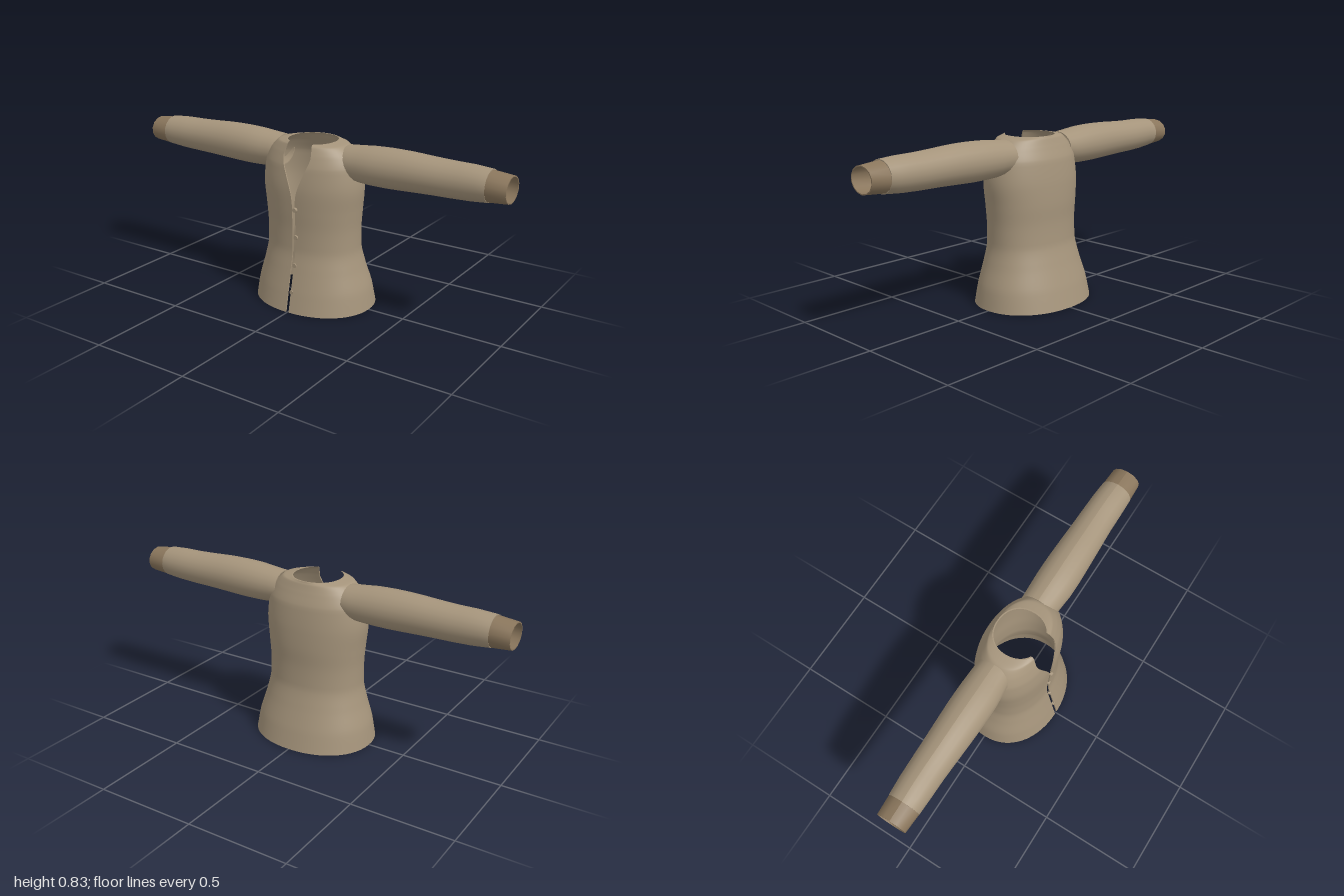
import * as THREE from 'three';
import { mergeGeometries } from 'three/addons/utils/BufferGeometryUtils.js';

const fabric = new THREE.MeshStandardMaterial({ color: 0xa5947b, side: THREE.DoubleSide });
fabric.name = 'fabric';
const ribbing = new THREE.MeshStandardMaterial({ color: 0x8a765c, side: THREE.DoubleSide });
ribbing.name = 'ribbing';

// Surface patch from a function of u and v, both 0..1
function grid(nu, nv, f) {
  const pos = [], index = [];
  for (let j = 0; j <= nv; j++)
    for (let i = 0; i <= nu; i++) pos.push(...f(i / nu, j / nv));
  for (let j = 0; j < nv; j++)
    for (let i = 0; i < nu; i++) {
      const a = j * (nu + 1) + i, b = a + nu + 1;
      index.push(a, a + 1, b + 1, a, b + 1, b);
    }
  const g = new THREE.BufferGeometry();
  g.setAttribute('position', new THREE.Float32BufferAttribute(pos, 3));
  g.setIndex(index);
  g.computeVertexNormals();
  return g;
}

// Cloth with thickness: outer face, inner face and four edge strips
function cloth(nu, nv, f, near, far) {
  const mix = t => near + (far - near) * t;
  return mergeGeometries([
    grid(nu, nv, (u, v) => f(u, v, near)),
    grid(nu, nv, (u, v) => f(1 - u, v, far)),
    grid(nu, 1, (u, t) => f(u, 0, mix(1 - t))),
    grid(nu, 1, (u, t) => f(u, 1, mix(t))),
    grid(1, nv, (t, v) => f(0, v, mix(1 - t))),
    grid(1, nv, (t, v) => f(1, v, mix(t))),
  ]);
}

// Linear lookup in rows sorted by their first number
function lookup(rows, k) {
  let i = 0;
  while (i < rows.length - 2 && k > rows[i + 1][0]) i++;
  const a = rows[i], b = rows[i + 1];
  const t = Math.min(1, Math.max(0, (k - a[0]) / (b[0] - a[0])));
  return a.map((n, c) => n + (b[c] - n) * t);
}

// Smooth curve through rows
function smoothRows(rows, count) {
  const curve = new THREE.CatmullRomCurve3(rows.map(r => new THREE.Vector3(r[1], r[2], r[3])));
  const heights = new THREE.CatmullRomCurve3(rows.map(r => new THREE.Vector3(r[0], 0, 0)));
  return Array.from({ length: count + 1 }, (_, i) => {
    const p = curve.getPoint(i / count);
    return [heights.getPoint(i / count).x, p.x, p.y, p.z];
  });
}

// Torso: height, half width, front z, back z
const torso = smoothRows([
  [0, 0.31, 0.25, -0.25], [0.1, 0.294, 0.23, -0.225], [0.2, 0.264, 0.208, -0.194],
  [0.3, 0.243, 0.189, -0.168], [0.4, 0.243, 0.187, -0.163], [0.5, 0.251, 0.191, -0.165],
  [0.6, 0.261, 0.193, -0.161], [0.71, 0.25, 0.181, -0.147], [0.77, 0.22, 0.162, -0.123],
  [0.81, 0.178, 0.147, -0.106], [0.82, 0.125, 0.143, -0.1],
], 60);

// Front opening: height, half gap
const opening = [
  [0, 0.008], [0.54, 0.008], [0.58, 0.013], [0.62, 0.025], [0.66, 0.041],
  [0.7, 0.058], [0.73, 0.07], [0.76, 0.077], [0.79, 0.073], [0.82, 0.066],
];

const SQUARE = 0.93;
const bend = n => Math.sign(n) * Math.pow(Math.abs(n), SQUARE);

function ringPoint([y, w, front, back], angle, inset) {
  const mid = (front + back) / 2, depth = (front - back) / 2 - inset;
  return [(w - inset) * bend(Math.sin(angle)), y, mid + depth * bend(Math.cos(angle))];
}

function torsoPoint(u, v, inset) {
  const row = torso[Math.round(v * 60)];
  const gap = lookup(opening, row[0])[1];
  const start = Math.asin(Math.pow(gap / (row[1] - inset), 1 / SQUARE));
  return ringPoint(row, start + u * (2 * Math.PI - 2 * start), inset);
}

// Sleeve and cuff: x, bottom y, top y, back z, front z
const sleeveRows = [
  [0.185, 0.655, 0.812, -0.085, 0.09], [0.25, 0.645, 0.818, -0.088, 0.095],
  [0.33, 0.641, 0.826, -0.091, 0.102], [0.42, 0.641, 0.829, -0.091, 0.101],
  [0.52, 0.645, 0.828, -0.088, 0.097], [0.62, 0.649, 0.822, -0.085, 0.092],
  [0.72, 0.651, 0.818, -0.083, 0.087], [0.82, 0.655, 0.817, -0.08, 0.086],
  [0.905, 0.663, 0.811, -0.074, 0.084],
];
const cuffRows = [[0.895, 0.664, 0.808, -0.073, 0.083], [1, 0.673, 0.797, -0.068, 0.078]];

function sleeveTube(rows, side, sides, steps) {
  const first = rows[0][0], last = rows[rows.length - 1][0];
  return cloth(sides, steps, (u, v, inset) => {
    const [x, low, high, back, front] = lookup(rows, first + v * (last - first));
    const a = u * Math.PI * 2;
    return [side * x,
      (low + high) / 2 + ((high - low) / 2 - inset) * Math.cos(a),
      (front + back) / 2 + side * ((front - back) / 2 - inset) * Math.sin(a)];
  }, 0, 0.005);
}

export function createModel() {
  const model = new THREE.Group();
  model.name = 'jacket';
  const add = (name, geometry, material) => {
    const mesh = new THREE.Mesh(geometry, material);
    mesh.name = name;
    model.add(mesh);
    return mesh;
  };

  add('torso', cloth(56, 60, torsoPoint, 0, 0.006), fabric);

  for (const side of [1, -1]) {
    const label = side > 0 ? 'left' : 'right';
    add(label + 'Sleeve', sleeveTube(sleeveRows, side, 20, 16), fabric);
    add(label + 'Cuff', sleeveTube(cuffRows, side, 14, 1), ribbing);

    // Pocket bag on the inside of the front panel
    const middle = side * 0.38;
    add(label + 'InnerPocket', cloth(6, 8, (u, v, inset) =>
      ringPoint(lookup(torso, 0.04 + v * 0.15), middle + (u - 0.5) * 0.28, inset), 0.006, 0.01), fabric);
  }

  // Buttons down the front edge
  for (const [y, z] of [[0.51, 0.194], [0.37, 0.186], [0.23, 0.197], [0.1, 0.224]]) {
    const button = add('button', new THREE.CylinderGeometry(0.011, 0.013, 0.014, 12), fabric);
    button.rotation.x = Math.PI / 2;
    button.position.set(0.011, y, z);
  }
  return model;
}
